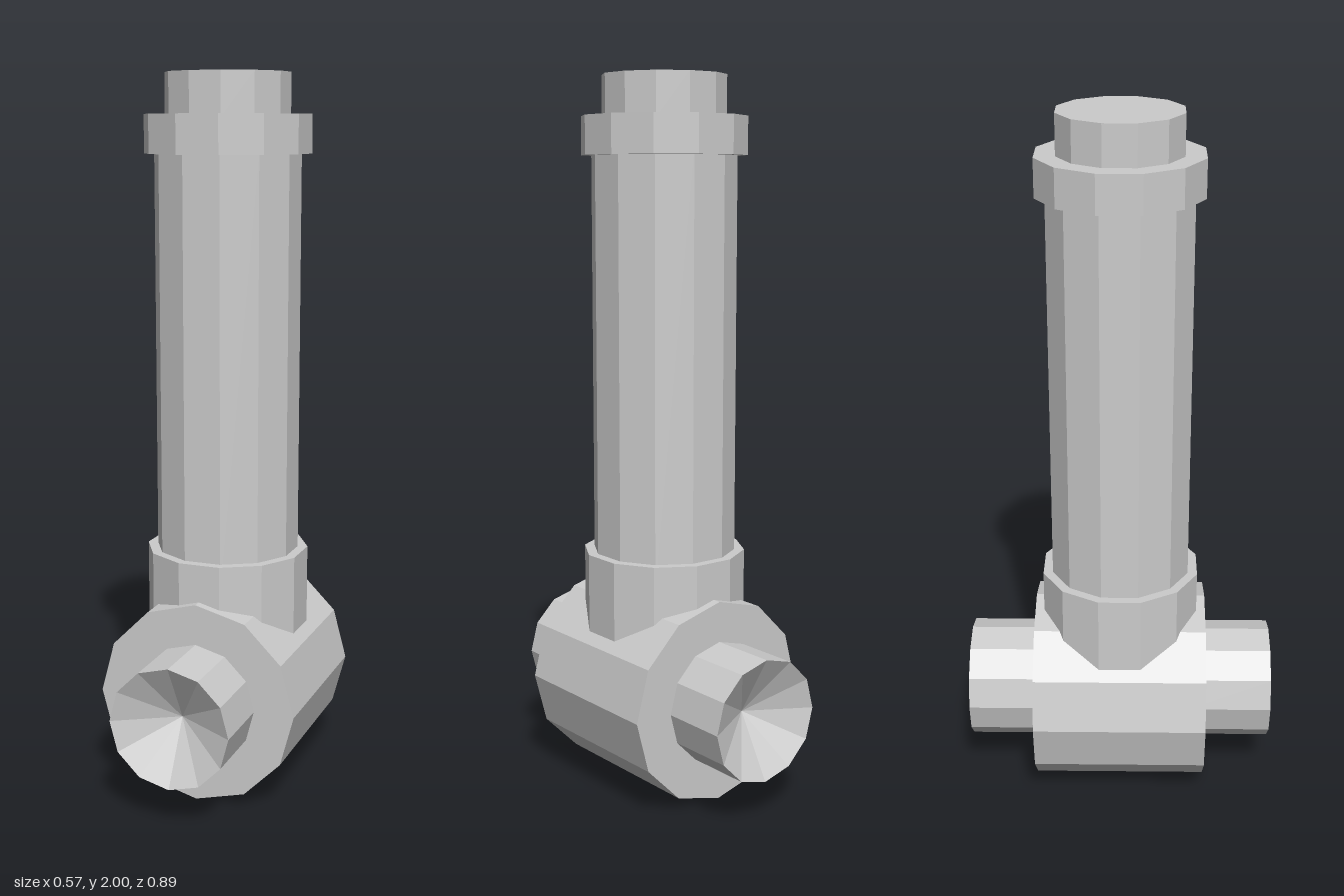
import * as THREE from 'three';

const SIDES = 12;
const AXIS_Y = 0.287; // height of the horizontal body's axis

export function createModel() {
  const group = new THREE.Group();
  const material = new THREE.MeshStandardMaterial({ color: 0xcccccc, flatShading: true });

  const add = (name, geometry) => {
    const mesh = new THREE.Mesh(geometry, material);
    mesh.name = name;
    group.add(mesh);
    return mesh;
  };

  // Upright twelve-sided section with flat faces towards the axes
  const upright = (name, radius, bottom, top) => {
    const geometry = new THREE.CylinderGeometry(radius, radius, top - bottom, SIDES);
    geometry.rotateY(Math.PI / SIDES);
    add(name, geometry).position.y = (bottom + top) / 2;
  };

  upright('lowerCollar', 0.23, AXIS_Y, 0.68);
  upright('mainPipe', 0.202, 0.6, 1.8);
  upright('upperCollar', 0.23, 1.785, 1.89);
  upright('topCap', 0.172, 1.88, 2);

  // Horizontal barrel, lying front to back
  const barrel = new THREE.CylinderGeometry(0.287, 0.287, 0.496, SIDES);
  barrel.rotateX(Math.PI / 2);
  add('barrel', barrel).position.y = AXIS_Y;

  // Front and back stubs, each with a conical recess in its end
  const stubProfile = [[0.172, 0.2], [0.172, 0.443], [0, 0.343]]
    .map(([r, y]) => new THREE.Vector2(r, y));
  for (const [name, turn] of [['frontStub', 0], ['backStub', Math.PI]]) {
    const stub = new THREE.LatheGeometry(stubProfile, SIDES);
    stub.rotateX(Math.PI / 2);
    stub.rotateY(turn);
    add(name, stub).position.y = AXIS_Y;
  }

  return group;
}
